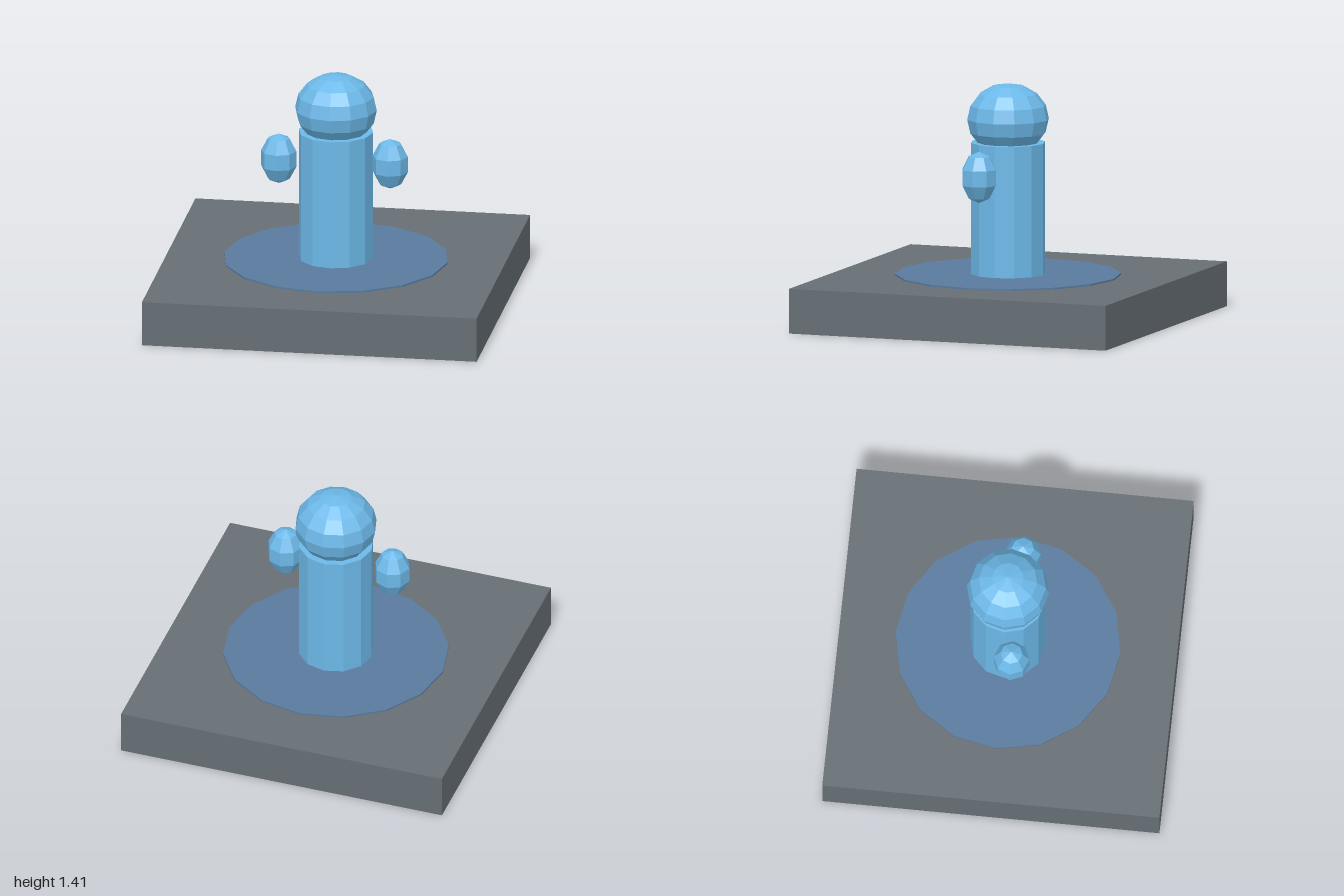
import * as THREE from 'three';

export function createModel() {
  const model = new THREE.Group();
  const material = (color) => new THREE.MeshStandardMaterial({ color, flatShading: true });
  const stone = material(0x666e74);
  const water = material(0x597a9e);
  const blue = material(0x6cb8e8);

  const add = (name, geometry, mat, x, y, z) => {
    const mesh = new THREE.Mesh(geometry, mat);
    mesh.name = name;
    mesh.position.set(x, y, z);
    model.add(mesh);
    return mesh;
  };

  // Square plinth with a thin round inlay on top
  add('base', new THREE.BoxGeometry(2, 0.267, 2), stone, 0, 0.1335, 0);
  add('disc', new THREE.CylinderGeometry(0.667, 0.667, 0.022, 16), water, 0, 0.267, 0);

  // Column body and slightly squashed head
  add('body', new THREE.CylinderGeometry(0.222, 0.222, 0.79, 12), blue, 0, 0.665, 0);
  const head = new THREE.SphereGeometry(0.244, 12, 8).scale(1, 0.87, 1);
  add('head', head, blue, 0, 1.198, 0);

  // Mirrored egg-shaped hands, floating beside the body
  for (const [name, side] of [['leftHand', 1], ['rightHand', -1]]) {
    const hand = new THREE.SphereGeometry(0.111, 8, 5).scale(1, 1.38, 1);
    add(name, hand, blue, side * 0.333, 0.891, 0.055);
  }
  return model;
}
